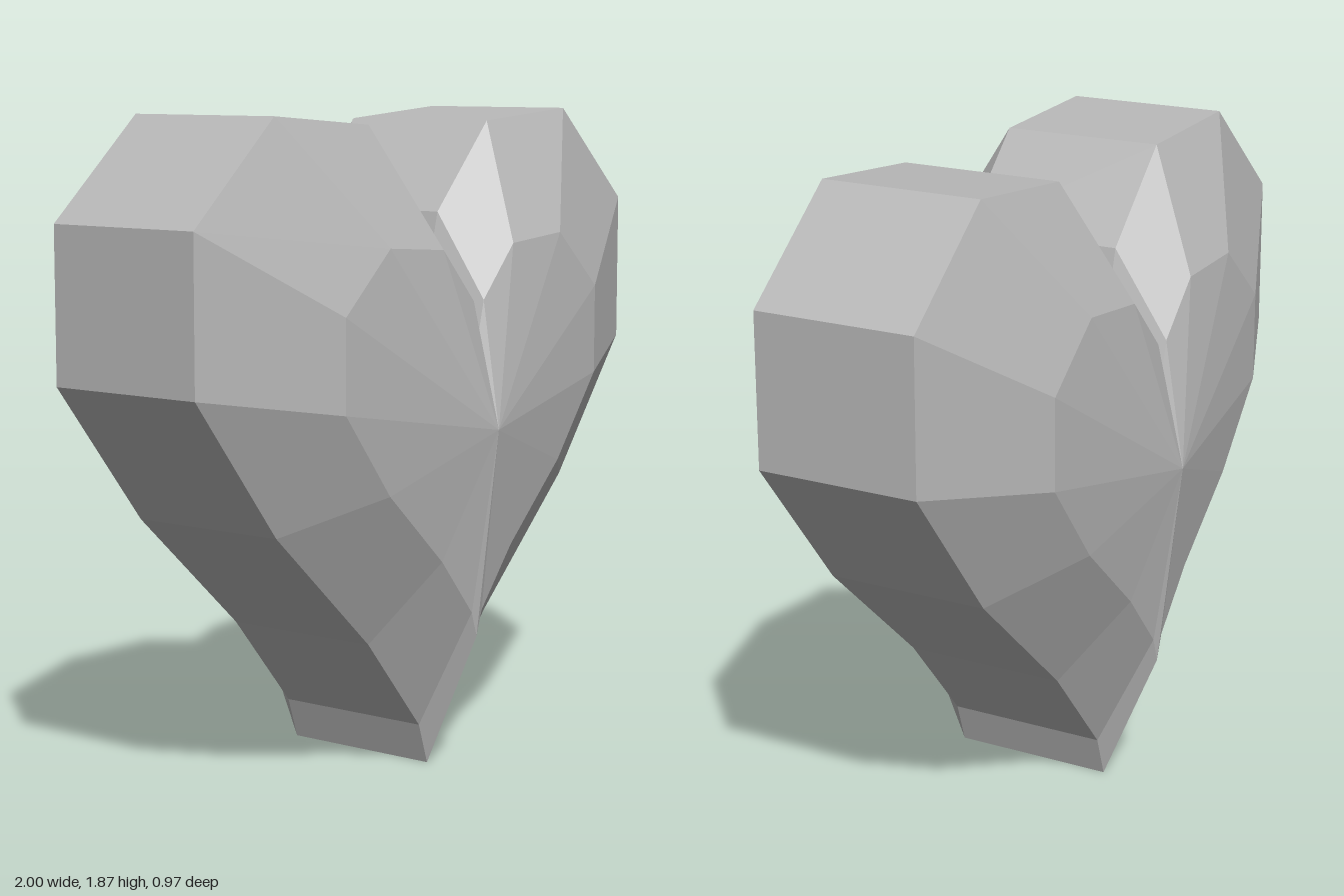
import * as THREE from 'three';

export function createModel() {
  const grey = new THREE.MeshStandardMaterial({ color: 0xb8b8b8, flatShading: true });
  grey.name = 'stone grey';

  // Half outline, from the top notch down to the tip
  const half = [
    [0, 1.44], [0.04, 1.59], [0.28, 1.84], [0.68, 1.87], [1, 1.59],
    [1, 1.16], [0.68, 0.76], [0.28, 0.4], [0.04, 0.12], [0, 0],
  ];
  const mirrored = half.slice(1, -1).map(([x, y]) => [-x, y]);
  // Counter-clockwise seen from the front
  const outline = [...mirrored, ...half.slice().reverse()];
  const centreY = 0.995;

  // Cross-sections from front to back: [scale about the centre, z]
  const sections = [[0, 0.485], [0.6, 0.414], [1, 0.242], [1, -0.242], [0.6, -0.414], [0, -0.485]];
  const positions = [];
  const point = ([scale, z], i) => {
    const [x, y] = outline[i % outline.length];
    return [x * scale, centreY + (y - centreY) * scale, z];
  };

  // Join neighbouring sections; the end sections shrink to a point
  for (let s = 0; s < sections.length - 1; s++) {
    const front = sections[s], back = sections[s + 1];
    for (let i = 0; i < outline.length; i++) {
      const a = point(front, i), b = point(back, i);
      const c = point(back, i + 1), d = point(front, i + 1);
      if (back[0] > 0) positions.push(...a, ...b, ...c);
      if (front[0] > 0) positions.push(...a, ...c, ...d);
    }
  }

  const geometry = new THREE.BufferGeometry();
  geometry.setAttribute('position', new THREE.Float32BufferAttribute(positions, 3));
  geometry.computeVertexNormals();

  const heart = new THREE.Mesh(geometry, grey);
  heart.name = 'facetedHeart';
  const model = new THREE.Group();
  model.name = 'heart';
  model.add(heart);
  return model;
}
